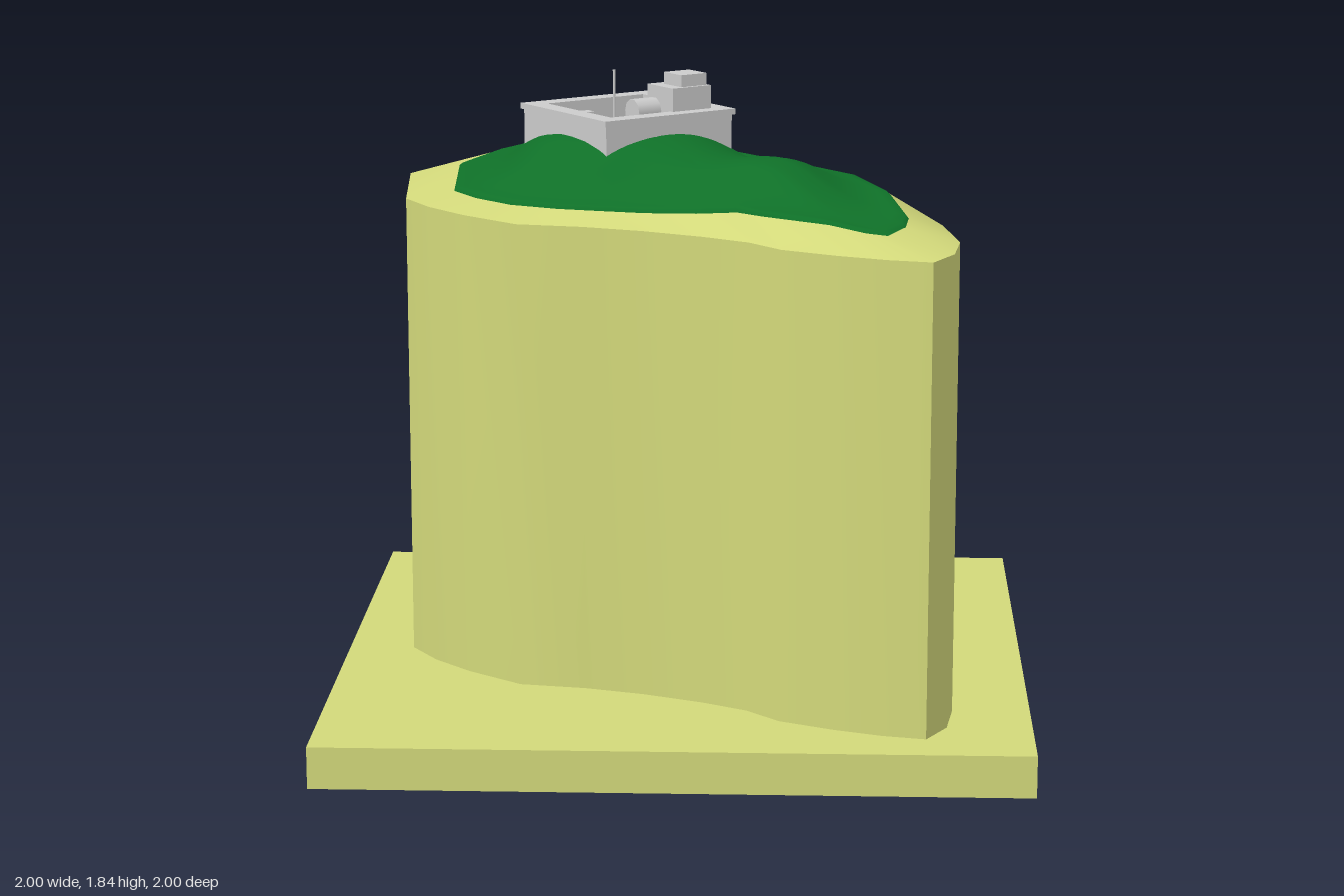
import * as THREE from 'three';
import { toCreasedNormals } from 'three/addons/utils/BufferGeometryUtils.js';

const mat = (color) => new THREE.MeshStandardMaterial({ color, side: THREE.DoubleSide });
const sand = mat(0xd2d87a), grass = mat(0x0f7028), grey = mat(0xcccccc);

// Cliff outline as x, z pairs, clockwise from above, starting at the -x side
const CLIFF = [
  -.84, -.32, -.67, -.57, -.48, -.79, -.35, -.84, -.2, -.82, -.03, -.76, .14, -.61, .3, -.46, .4, -.27,
  .51, -.08, .62, .15, .74, .39, .78, .61, .76, .76, .7, .865, .58, .84, .44, .79, .29, .72, .2, .63,
  .07, .56, -.1, .49, -.27, .44, -.46, .41, -.62, .29, -.73, .18, -.81, .06,
];
// Grass edge as x, y, z triples, one for each cliff point
const EDGE = [
  -.685, 1.53, -.26, -.58, 1.55, -.42, -.44, 1.56, -.6, -.31, 1.565, -.68, -.2, 1.56, -.67, -.05, 1.555, -.64,
  .09, 1.54, -.51, .21, 1.535, -.4, .3, 1.55, -.22, .4, 1.56, -.03, .5, 1.57, .16, .59, 1.555, .34,
  .64, 1.52, .54, .63, 1.51, .62, .58, 1.5, .7, .52, 1.505, .69, .42, 1.52, .65, .235, 1.53, .58,
  .165, 1.53, .52, .05, 1.515, .46, -.1, 1.505, .4, -.23, 1.505, .37, -.35, 1.505, .34, -.49, 1.5, .25,
  -.6, 1.5, .14, -.67, 1.505, .05,
];
const N = CLIFF.length / 2;
const FORT = new THREE.Vector2(-.174, -.125);

// Skin between closed rings, listed from bottom/outside to top/inside
function loft(rings, crease) {
  const pos = rings.flat(2), index = [], n = rings[0].length;
  for (let r = 0; r < rings.length - 1; r++) {
    for (let i = 0; i < n; i++) {
      const j = (i + 1) % n, a = r * n, b = a + n;
      index.push(a + i, b + i, b + j, a + i, b + j, a + j);
    }
  }
  const g = new THREE.BufferGeometry();
  g.setAttribute('position', new THREE.Float32BufferAttribute(pos, 3));
  g.setIndex(index);
  g.computeVertexNormals();
  return crease ? toCreasedNormals(g, crease) : g;
}

// Height of the hills: flat-topped mound under the fort, ridge towards the narrow end
function hill(x, z) {
  const mound = Math.hypot(x + .2, z + .1) / .34;
  const ridge = Math.hypot(x - .25, z - .28) / .28;
  return 1.535 + .14 * Math.exp(-.9 * mound ** 4) + .11 * Math.exp(-(ridge ** 2));
}

function add(parent, name, geometry, material, x = 0, y = 0, z = 0) {
  const mesh = new THREE.Mesh(geometry, material);
  mesh.name = name;
  mesh.position.set(x, y, z);
  parent.add(mesh);
  return mesh;
}

// Square frame lying flat, from height y up by h
function frame(parent, name, outer, inner, y, h) {
  const square = (P, s) => {
    const k = s / 2;
    return new P([[-k, -k], [k, -k], [k, k], [-k, k]].map((p) => new THREE.Vector2(...p)));
  };
  const shape = square(THREE.Shape, outer);
  shape.holes.push(square(THREE.Path, inner));
  const g = new THREE.ExtrudeGeometry(shape, { depth: h, bevelEnabled: false });
  g.rotateX(-Math.PI / 2);
  return add(parent, name, g, grey, 0, y, 0);
}

export function createModel() {
  const model = new THREE.Group();
  model.name = 'islandFort';

  // Base plate, hollow and open underneath
  const plate = new THREE.BoxGeometry(2, .12, 2);
  plate.setIndex([...plate.index.array].filter((_, i) => i < 18 || i > 23));
  plate.clearGroups();
  add(model, 'basePlate', plate, sand, 0, .06, 0);

  // Cliff column, its ends tilted slightly forward
  const ring = (y) => Array.from({ length: N }, (_, i) => {
    const x = CLIFF[2 * i], z = CLIFF[2 * i + 1];
    return [x, y - .03 * z, z];
  });
  const edge = Array.from({ length: N }, (_, i) => EDGE.slice(3 * i, 3 * i + 3));
  const rim = ring(1.485);
  add(model, 'cliffWall', loft([ring(.09), rim], .5), sand);
  add(model, 'cliffRim', loft([rim, edge], .6), sand);

  // Grass hills: rings shrinking from the edge to a centre point
  const rings = [edge];
  const STEPS = 24, cx = -.1, cz = -.05;
  for (let s = 0; s <= STEPS; s++) {
    const t = .015 + .985 * s / STEPS;
    const w = THREE.MathUtils.smoothstep(t, -.1, .45);
    rings.push(edge.map(([x, y, z]) => {
      const px = x + (cx - x) * t, pz = z + (cz - z) * t;
      return [px, y + .008 + (hill(px, pz) - y - .008) * w, pz];
    }));
  }
  add(model, 'grassHills', loft(rings), grass);

  // Fort, turned on the hilltop
  const fort = new THREE.Group();
  fort.name = 'fort';
  fort.position.set(FORT.x, 0, FORT.y);
  fort.rotation.y = .644;
  model.add(fort);
  frame(fort, 'fortWalls', .44, .35, 1.57, .145);
  frame(fort, 'wallCoping', .455, .34, 1.715, .017);

  // Keep with its smaller upper storey
  add(fort, 'keep', new THREE.BoxGeometry(.135, .2, .13), grey, .105, 1.7, .116);
  add(fort, 'keepTop', new THREE.BoxGeometry(.09, .035, .09), grey, .12, 1.8175, .125);

  // Rounded entrance beside the keep
  const vault = new THREE.CylinderGeometry(.037, .037, .08, 10);
  vault.rotateZ(Math.PI / 2);
  add(fort, 'entranceVault', vault, grey, 0, 1.728, .085);
  add(fort, 'entranceBase', new THREE.BoxGeometry(.08, .1, .07), grey, 0, 1.675, .085);

  // Mast
  add(fort, 'mast', new THREE.CylinderGeometry(.004, .004, .2, 8), grey, -.02, 1.735, -.04);

  // Small huts in the yard
  const huts = [[.151, -.152], [.151, -.098], [.15, -.044], [-.109, -.144], [-.05, -.144], [-.153, -.033]];
  for (const [x, z] of huts) {
    add(fort, 'hut', new THREE.BoxGeometry(.035, .1, .035), grey, x, 1.652, z);
  }
  return model;
}
